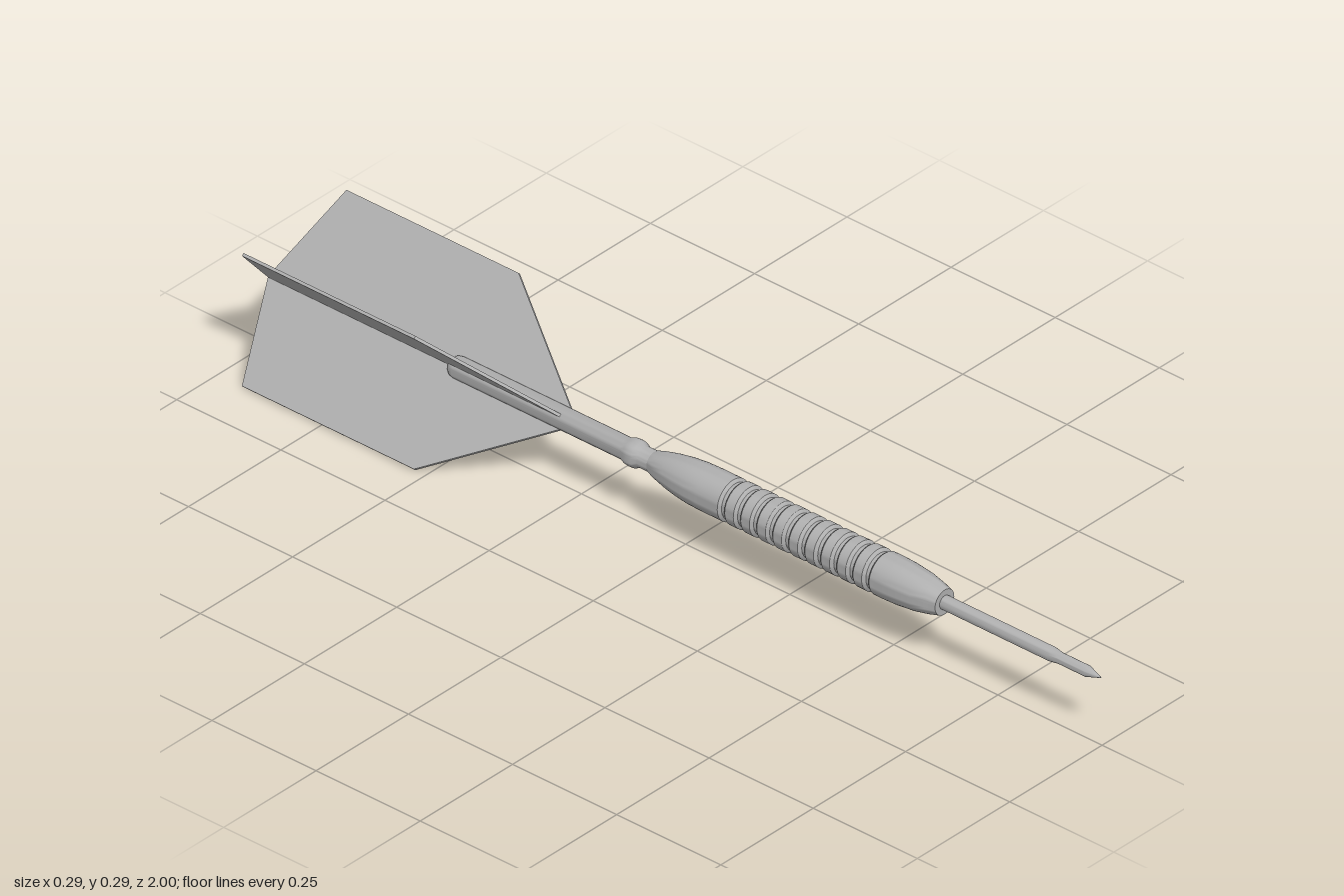
import * as THREE from 'three';
import { toCreasedNormals } from 'three/addons/utils/BufferGeometryUtils.js';

const AXIS_Y = 0.144;

export function createModel() {
  const group = new THREE.Group();
  const grey = new THREE.MeshStandardMaterial({ color: 0xb0b0b0 });
  grey.name = 'grey';

  const add = (name, geometry) => {
    const mesh = new THREE.Mesh(geometry, grey);
    mesh.name = name;
    mesh.position.y = AXIS_Y;
    group.add(mesh);
  };

  // Turned part along z; profile is [radius, z], from back to front
  const turned = (name, profile) => {
    const points = profile.map(([r, z]) => new THREE.Vector2(r, z));
    const geometry = new THREE.LatheGeometry(points, 40).rotateX(Math.PI / 2);
    add(name, toCreasedNormals(geometry, 0.55));
  };

  // Steel point
  turned('point', [
    [0.014, 0.6], [0.014, 0.88], [0.011, 0.9], [0.011, 0.965], [0, 1],
  ]);

  // Barrel with a grooved grip
  const barrel = [
    [0, -0.075], [0.022, -0.075], [0.027, -0.06], [0.034, -0.03],
    [0.039, 0], [0.042, 0.03], [0.043, 0.06],
  ];
  const grooves = 10, start = 0.123, pitch = 0.0385;
  for (let i = 0; i < grooves; i++) {
    const z = start + i * pitch;
    barrel.push([0.043, z - 0.009], [0.041, z - 0.006], [0.037, z - 0.004],
      [0.037, z + 0.004], [0.041, z + 0.006], [0.043, z + 0.009]);
  }
  barrel.push([0.043, 0.5], [0.042, 0.53], [0.038, 0.57], [0.032, 0.6],
    [0.026, 0.622], [0, 0.622]);
  turned('barrel', barrel);

  // Shaft with a collar behind the barrel
  turned('shaft', [
    [0, -0.562], [0.013, -0.562], [0.02, -0.553], [0.022, -0.543],
    [0.022, -0.14], [0.026, -0.13], [0.027, -0.12], [0.026, -0.11],
    [0.021, -0.1], [0.021, -0.07],
  ]);

  // Two crossed plates make the four flights
  const half = [[0.02, -0.285], [0.2, -0.525], [0.2, -0.938]];
  const outline = [
    ...half, [0, -1], ...half.map(([x, z]) => [-x, z]).reverse(),
  ].map(([x, z]) => new THREE.Vector2(x, z));
  const thickness = 0.006;
  for (const [name, angle] of [['flightRising', 1], ['flightFalling', -1]]) {
    const plate = new THREE.ExtrudeGeometry(new THREE.Shape(outline),
      { depth: thickness, bevelEnabled: false });
    plate.translate(0, 0, -thickness / 2);
    plate.rotateX(Math.PI / 2).rotateZ(angle * Math.PI / 4);
    add(name, plate);
  }

  return group;
}
